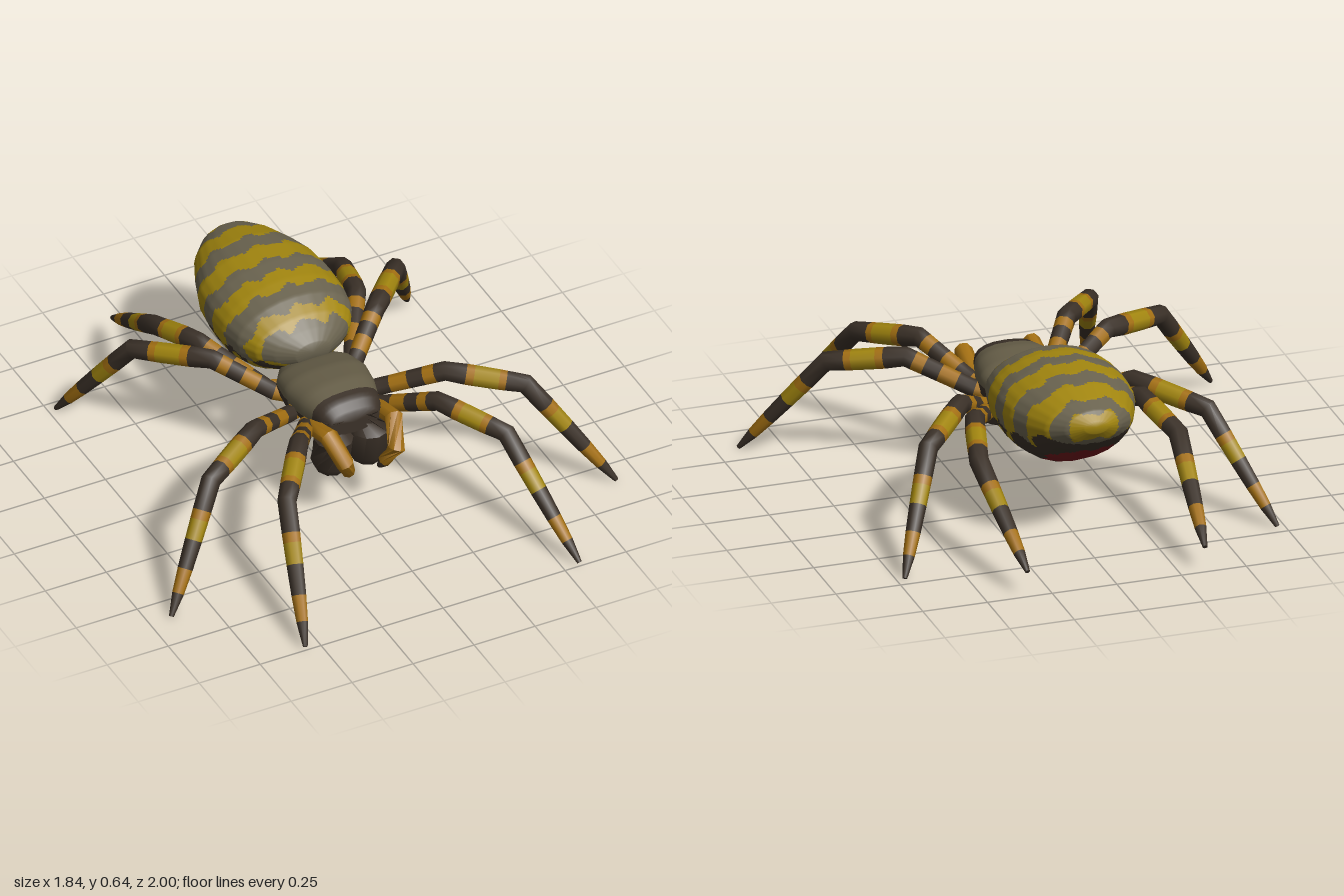
import * as THREE from 'three';
import { toCreasedNormals } from 'three/addons/utils/BufferGeometryUtils.js';

const mat = (name, color) => {
  const m = new THREE.MeshStandardMaterial({ color });
  m.name = name;
  return m;
};
const [DARK, OLIVE, GREY, YELLOW, ORANGE, RED] = [0, 1, 2, 3, 4, 5];

const V = (x, y, z) => new THREE.Vector3(x, y, z);

// Smooth skin over a list of rings, closed at both ends.
// colorOf(centre, ringIndex) gives the material number of each face.
function loft(name, rings, materials, colorOf) {
  const buckets = materials.map(() => []);
  const tri = (a, b, c, i, centre) => {
    const mid = centre || V(0, 0, 0).add(a).add(b).add(c).divideScalar(3);
    for (const p of [a, b, c]) buckets[colorOf(mid, i)].push(p.x, p.y, p.z);
  };
  const n = rings[0].length;
  for (let i = 0; i < rings.length - 1; i++) {
    for (let j = 0; j < n; j++) {
      const k = (j + 1) % n;
      const a = rings[i][j], b = rings[i][k], c = rings[i + 1][k], d = rings[i + 1][j];
      const centre = V(0, 0, 0).add(a).add(b).add(c).add(d).divideScalar(4);
      tri(a, d, b, i, centre);
      tri(b, d, c, i, centre);
    }
  }
  const last = rings.length - 1;
  for (const i of [0, last]) {
    const hub = V(0, 0, 0);
    rings[i].forEach((p) => hub.add(p));
    hub.divideScalar(n);
    for (let j = 0; j < n; j++) {
      const a = rings[i][j], b = rings[i][(j + 1) % n];
      if (i === 0) tri(hub, a, b, 0);
      else tri(hub, b, a, last - 1);
    }
  }
  const geo = new THREE.BufferGeometry();
  geo.setAttribute('position', new THREE.Float32BufferAttribute(buckets.flat(), 3));
  let start = 0;
  buckets.forEach((list, m) => {
    if (list.length) geo.addGroup(start, list.length / 3, m);
    start += list.length / 3;
  });
  // Enlarged while normals are shared, since points are matched to two decimals
  geo.scale(100, 100, 100);
  const smooth = toCreasedNormals(geo, 1.0);
  smooth.scale(0.01, 0.01, 0.01);
  const mesh = new THREE.Mesh(smooth, materials);
  mesh.name = name;
  return mesh;
}

// Upright body rings from [z, halfWidth, top, middle, bottom], front to back
const bodyRings = (rows, sides, power) => rows.map(([z, w, top, mid, bot]) =>
  Array.from({ length: sides }, (_, j) => {
    const a = (j / sides) * Math.PI * 2;
    const bend = (v) => Math.sign(v) * Math.pow(Math.abs(v), power);
    const s = bend(Math.sin(a));
    return V(w * bend(Math.cos(a)), mid + s * (s > 0 ? top - mid : mid - bot), z);
  }));

// Splits the skin into small cells, so that markings can be painted on them
function refine(rings, along, around) {
  const fine = rings.map((r) => r.flatMap((p, j) =>
    Array.from({ length: around }, (_, k) => p.clone().lerp(r[(j + 1) % r.length], k / around))));
  const out = [];
  for (let i = 0; i < fine.length - 1; i++) {
    for (let k = 0; k < along; k++) out.push(fine[i].map((p, j) => p.clone().lerp(fine[i + 1][j], k / along)));
  }
  out.push(fine[fine.length - 1]);
  return out;
}

// Limb rings: stops are [segment, fraction, radius], mitred where the path bends
function limbRings(path, stops, sides) {
  const dir = (i) => path[i + 1].clone().sub(path[i]).normalize();
  return stops.map(([seg, t, r]) => {
    const tangent = dir(seg);
    if (t === 0 && seg > 0) tangent.add(dir(seg - 1)).normalize();
    const centre = path[seg].clone().lerp(path[seg + 1], t);
    const side = tangent.clone().cross(V(0, 1, 0)).normalize();
    const up = side.clone().cross(tangent);
    return Array.from({ length: sides }, (_, j) => {
      const a = ((j + 0.5) / sides) * Math.PI * 2;
      return centre.clone().addScaledVector(side, r * Math.cos(a)).addScaledVector(up, r * Math.sin(a));
    });
  });
}

// Wavy top stripes, mottled belly and a red patch under the rear
function abdomenColor(p) {
  const ripple = 0.012 * Math.cos(p.x * 48) + 0.005 * Math.sin(p.x * 90 + p.z * 20);
  const edge = 0.425 + 0.015 * Math.sin(p.z * 45) + (p.z < -0.6 ? 0.04 : 0);
  if (p.y < edge) {
    const d = Math.hypot(p.x * 0.85, p.y - 0.33, p.z + 0.58);
    if (d < 0.115 + 0.015 * Math.sin(p.x * 70) * Math.cos(p.z * 75)) return RED;
    const mottle = Math.sin(p.z * 70 + 2 * Math.sin(p.x * 30)) + 0.7 * Math.sin(p.y * 85 + p.x * 30);
    return p.z > -0.47 && Math.abs(p.x) > 0.05 && mottle > 0.4 ? YELLOW : DARK;
  }
  const z = p.z + ripple + 0.25 * p.x * p.x;
  const bands = [[-0.165, -0.11], [-0.34, -0.255], [-0.505, -0.415], [-0.68, -0.585], [-0.8, -0.745]];
  return bands.some(([a, b]) => z > a && z < b) ? YELLOW : GREY;
}

export function createModel() {
  const model = new THREE.Group();
  model.name = 'spider';
  const M = [
    mat('dark brown', 0x3b3128), mat('olive shell', 0x655d47), mat('grey stripe', 0x6a634f),
    mat('yellow', 0xa2860f), mat('orange', 0xa47012), mat('red', 0x73181d),
  ];

  // Abdomen
  const abdomen = bodyRings([
    [-0.045, 0.07, 0.51, 0.47, 0.42], [-0.085, 0.14, 0.545, 0.47, 0.385], [-0.13, 0.195, 0.58, 0.475, 0.35],
    [-0.2, 0.235, 0.62, 0.48, 0.305], [-0.29, 0.252, 0.637, 0.48, 0.272], [-0.4, 0.255, 0.645, 0.485, 0.268],
    [-0.5, 0.243, 0.642, 0.49, 0.285], [-0.59, 0.21, 0.632, 0.495, 0.33], [-0.68, 0.168, 0.61, 0.505, 0.405],
    [-0.74, 0.11, 0.59, 0.52, 0.465], [-0.775, 0.045, 0.56, 0.535, 0.51],
  ], 24, 1);
  model.add(loft('abdomen', refine(abdomen, 10, 4), M, abdomenColor));

  // Head and thorax: olive shell, dark face and sides below, yellow breastplate
  const thorax = bodyRings([
    [0.29, 0.1, 0.42, 0.38, 0.33], [0.25, 0.125, 0.455, 0.385, 0.31], [0.15, 0.155, 0.475, 0.385, 0.29],
    [0.05, 0.17, 0.47, 0.385, 0.28], [-0.04, 0.157, 0.445, 0.38, 0.285], [-0.1, 0.118, 0.42, 0.37, 0.3],
    [-0.16, 0.05, 0.4, 0.37, 0.34],
  ], 20, 0.8);
  model.add(loft('headAndThorax', refine(thorax, 5, 2), M, (p) => {
    if (p.y > 0.375) return p.z < 0.215 ? OLIVE : DARK;
    return p.y < 0.3 && Math.abs(p.x) < 0.075 && p.z < 0.13 && p.z > -0.07 ? YELLOW : DARK;
  }));

  // Legs: root, knee base, knee, ankle and tip; then bands as [segment, fraction, radius, colour]
  const legs = [
    ['frontLeg', [0.09, 0.33, 0.13], [0.15, 0.34, 0.19], [0.285, 0.445, 0.395], [0.45, 0.395, 0.625], [0.562, 0.015, 0.995]],
    ['secondLeg', [0.09, 0.33, 0.06], [0.17, 0.345, 0.1], [0.39, 0.445, 0.245], [0.645, 0.4, 0.395], [0.912, 0.008, 0.602]],
    ['thirdLeg', [0.09, 0.33, -0.01], [0.16, 0.34, -0.05], [0.335, 0.44, -0.21], [0.54, 0.395, -0.45], [0.72, 0.008, -0.71]],
    ['hindLeg', [0.08, 0.33, -0.05], [0.17, 0.34, -0.08], [0.325, 0.43, -0.34], [0.385, 0.37, -0.57], [0.343, 0.1, -0.995]],
  ];
  const bands = [
    [0, 0, 0.032, DARK], [0, 0.5, 0.034, ORANGE], [1, 0, 0.033, DARK], [1, 0.25, 0.033, ORANGE],
    [1, 0.5, 0.034, DARK], [1, 0.72, 0.035, ORANGE], [1, 0.88, 0.036, DARK], [2, 0, 0.037, DARK],
    [2, 0.26, 0.04, ORANGE], [2, 0.36, 0.04, YELLOW], [2, 0.67, 0.039, ORANGE], [2, 0.76, 0.038, DARK],
    [3, 0, 0.037, DARK], [3, 0.22, 0.035, ORANGE], [3, 0.29, 0.034, YELLOW], [3, 0.44, 0.032, DARK],
    [3, 0.65, 0.028, ORANGE], [3, 0.83, 0.022, DARK], [3, 1, 0.009, DARK],
  ];
  const palp = [[0.11, 0.33, 0.14], [0.135, 0.355, 0.24], [0.132, 0.385, 0.34], [0.105, 0.305, 0.415], [0.06, 0.205, 0.365]];
  const palpBands = [
    [0, 0, 0.03, DARK], [0, 0.4, 0.032, ORANGE], [1, 0, 0.033, ORANGE], [2, 0, 0.036, ORANGE],
    [3, 0, 0.034, ORANGE], [3, 0.7, 0.025, DARK], [3, 1, 0.01, DARK],
  ];
  const jaw = [[0.07, 0.39, 0.25], [0.074, 0.31, 0.26], [0.074, 0.148, 0.228]];
  const jawBands = [[0, 0, 0.05, DARK], [1, 0, 0.074, DARK], [1, 0.65, 0.076, DARK], [1, 0.88, 0.06, DARK], [1, 1, 0.035, DARK]];
  const fang = [[0.075, 0.18, 0.21], [0.068, 0.186, 0.15], [0.055, 0.192, 0.072]];
  const fangBands = [[0, 0, 0.035, DARK], [1, 0, 0.022, DARK], [1, 1, 0.003, DARK]];

  for (const s of [1, -1]) {
    const label = s > 0 ? 'Left' : 'Right';
    const limb = (name, pts, stops, sides) => {
      const path = pts.map(([x, y, z]) => V(x * s, y, z));
      model.add(loft(name + label, limbRings(path, stops, sides), M, (p, i) => stops[i][3]));
    };
    for (const [name, ...pts] of legs) limb(name, pts, bands, 8);
    limb('feeler', palp, palpBands, 8);
    limb('jaw', jaw, jawBands, 10);
    limb('fang', fang, fangBands, 6);
  }
  return model;
}
